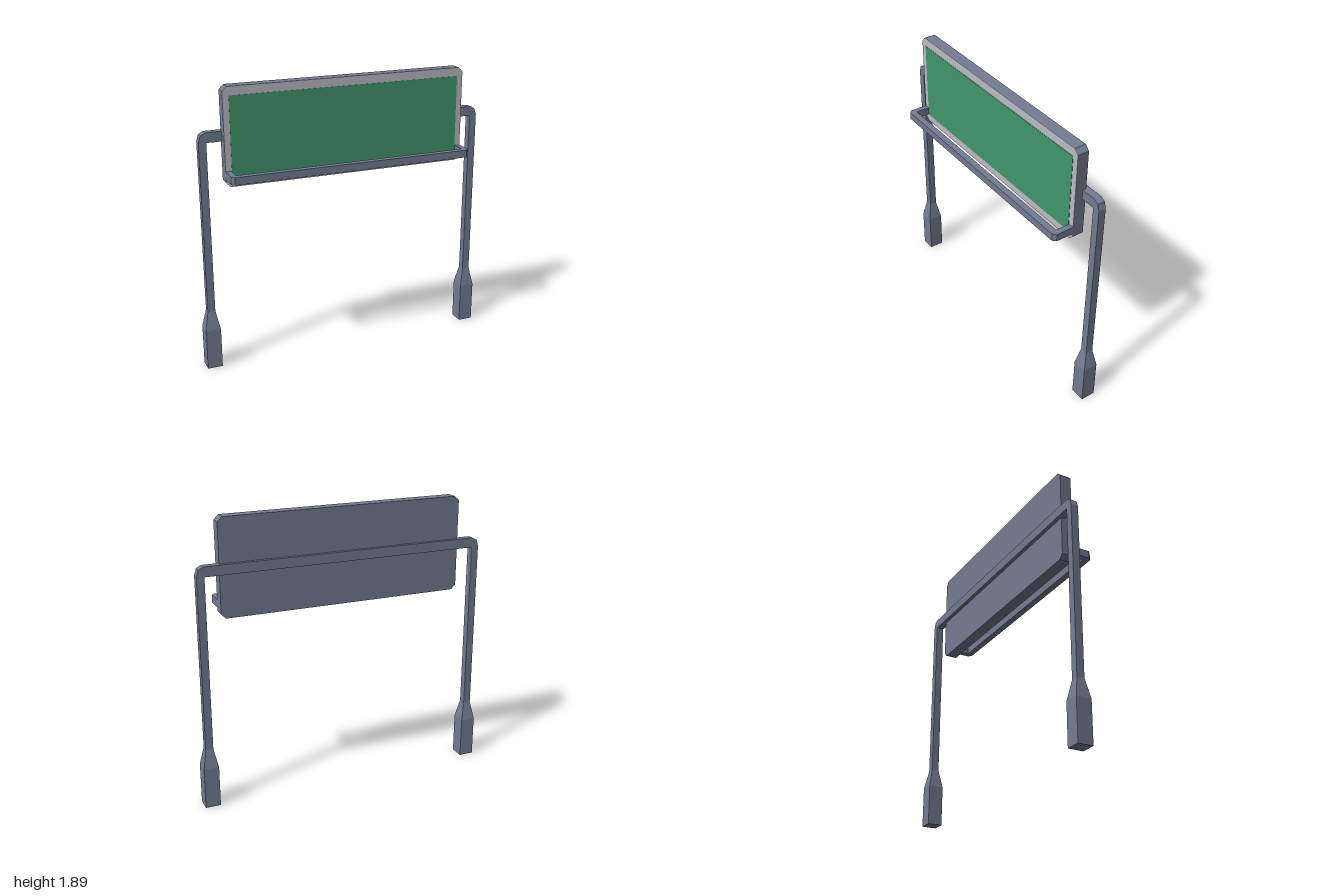
import * as THREE from 'three';

const steel = new THREE.MeshStandardMaterial({ color: 0x757c92 });
steel.name = 'steel';
const border = new THREE.MeshStandardMaterial({ color: 0xbdbbc5 });
border.name = 'paleBorder';
const green = new THREE.MeshStandardMaterial({ color: 0x41966d });
green.name = 'signGreen';

function add(parent, name, geometry, material, x = 0, y = 0, z = 0) {
  const mesh = new THREE.Mesh(geometry, material);
  mesh.name = name;
  mesh.position.set(x, y, z);
  parent.add(mesh);
  return mesh;
}

// Flat outline pushed out along +z
function slab(points, depth) {
  const shape = new THREE.Shape(points.map(([x, y]) => new THREE.Vector2(x, y)));
  return new THREE.ExtrudeGeometry(shape, { depth, bevelEnabled: false });
}

// Mirrors the left half of an outline onto the right
const mirrored = (half) => [...half, ...half.map(([x, y]) => [-x, y]).reverse()];

// Square frustum with flat sides
function frustum(top, bottom, height) {
  const g = new THREE.BoxGeometry(1, height, 1);
  const p = g.attributes.position;
  for (let i = 0; i < p.count; i++) {
    const s = p.getY(i) > 0 ? top : bottom;
    p.setX(i, p.getX(i) * s);
    p.setZ(i, p.getZ(i) * s);
  }
  g.computeVertexNormals();
  return g;
}

export function createModel() {
  const model = new THREE.Group();
  model.name = 'gantrySign';

  // Bent support frame: two posts and a crossbeam in one piece
  const frame = mirrored([
    [-0.925, 1.54], [-0.925, 0.4], [-0.975, 0.4],
    [-0.975, 1.545], [-0.962, 1.587], [-0.93, 1.605],
  ]);
  add(model, 'supportFrame', slab(frame, 0.05), steel, 0, 0, -0.108);

  // Footings with tapered tops
  for (const side of [-1, 1]) {
    const foot = new THREE.Group();
    foot.name = side > 0 ? 'leftFooting' : 'rightFooting';
    foot.position.set(side * 0.95, 0, -0.083);
    add(foot, 'footBlock', new THREE.BoxGeometry(0.1, 0.275, 0.1), steel, 0, 0.1375, 0);
    add(foot, 'footTaper', frustum(0.05, 0.1, 0.125), steel, 0, 0.3375, 0);
    model.add(foot);
  }

  // Sign board with chamfered corners
  const board = mirrored([
    [-0.795, 1.255], [-0.825, 1.285], [-0.825, 1.862], [-0.795, 1.892],
  ]);
  add(model, 'signBoard', slab(board, 0.075), steel, 0, 0, -0.083);
  add(model, 'signBorder', slab(board, 0.003), border, 0, 0, -0.008);
  add(model, 'signFace', new THREE.BoxGeometry(1.57, 0.53, 0.003), green, 0, 1.57, -0.0045);

  // U-shaped rail standing out from the board, outlined in plan
  const rail = mirrored([
    [-0.787, -0.09], [-0.787, 0.01], [-0.825, 0.01], [-0.825, -0.113], [-0.805, -0.133],
  ]);
  const railGeometry = slab(rail, 0.05).rotateX(-Math.PI / 2);
  railGeometry.translate(0, 1.307, 0);
  add(model, 'lampRail', railGeometry, steel);

  return model;
}
